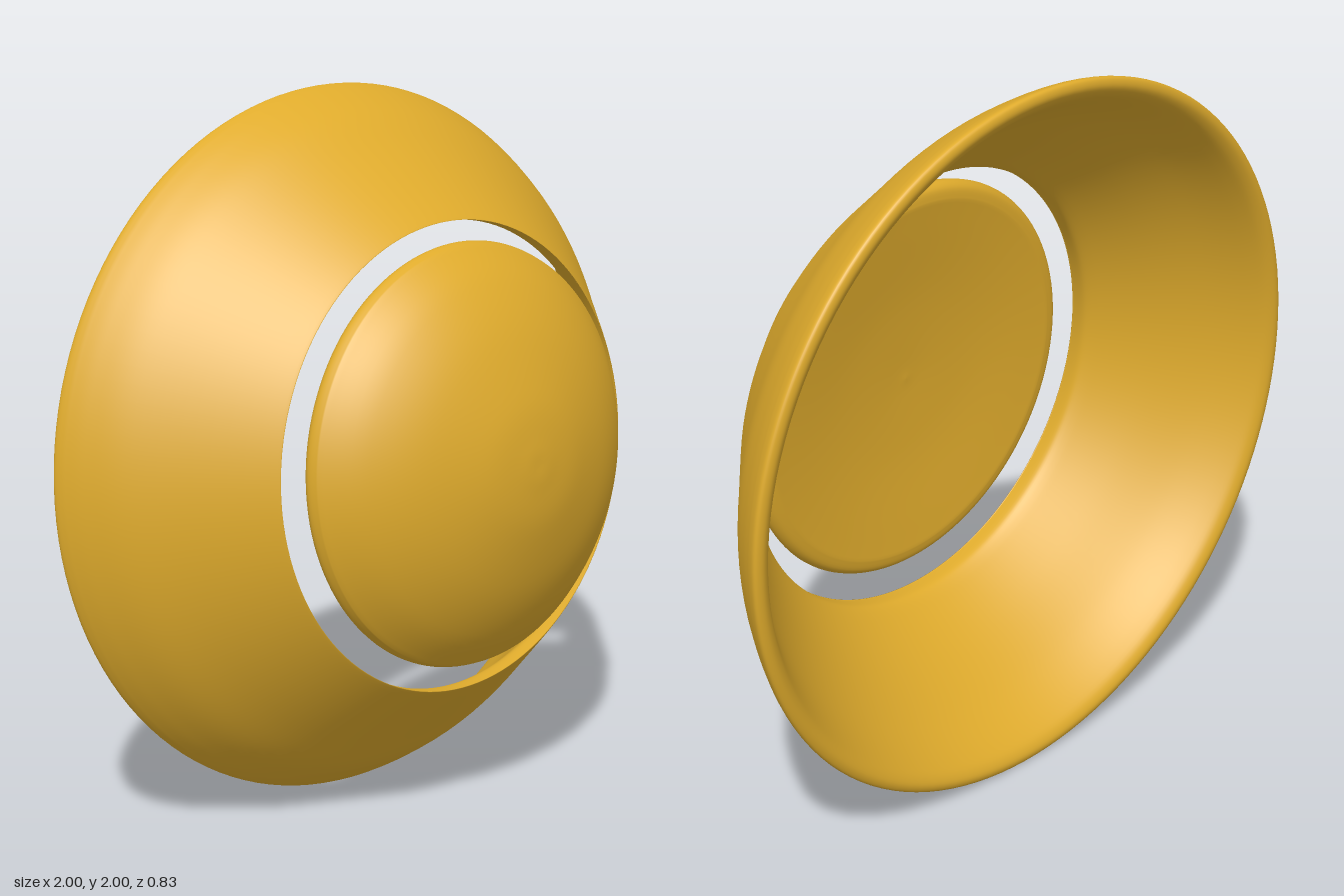
import * as THREE from 'three';

const gold = new THREE.MeshStandardMaterial({ color: 0xdfab2c });
gold.name = 'gold';

// Smooth curve through a few [radius, height] points
function smooth(points, count) {
  return new THREE.SplineCurve(points.map(([r, h]) => new THREE.Vector2(r, h))).getPoints(count);
}

// Revolved part whose axis points along +z
function revolve(name, profile) {
  profile.forEach((p) => { p.x = Math.max(p.x, 0); });
  const geometry = new THREE.LatheGeometry(profile, 128);
  geometry.rotateX(Math.PI / 2);
  const mesh = new THREE.Mesh(geometry, gold);
  mesh.name = name;
  return mesh;
}

// Tilt the back rim a little less than the front opening
function levelRim(geometry, frontHeight) {
  const p = geometry.attributes.position;
  for (let i = 0; i < p.count; i++) {
    const fade = 1 - p.getZ(i) / frontHeight;
    p.setZ(i, p.getZ(i) + fade * (0.011 * p.getX(i) + 0.022 * p.getY(i)));
  }
}

export function createModel() {
  const model = new THREE.Group();
  model.name = 'flaredRingAndDome';

  // Flared shell: lip, inner wall, broad rounded back rim, bulging outer wall
  const lip = smooth([[0.642, 0.464], [0.64, 0.43], [0.646, 0.41], [0.663, 0.386]], 10);
  const inner = smooth([[0.663, 0.386], [0.75, 0.278], [0.86, 0.142], [0.927, 0.04]], 20);
  const rim = smooth([[0.927, 0.04], [0.95, 0.008], [0.974, -0.007], [0.994, -0.004], [1.0, 0.008], [0.992, 0.032]], 20);
  const outer = smooth([[0.992, 0.032], [0.965, 0.083], [0.91, 0.167], [0.815, 0.275], [0.66, 0.448], [0.642, 0.464]], 30);
  const shell = revolve('flaredShell', [
    ...lip, ...inner.slice(1), ...rim.slice(1), ...outer.slice(1),
  ]);
  levelRim(shell.geometry, 0.464);

  // Dome: slightly hollow back, rounded edge, bulging front
  const back = smooth([[0, 0.505], [0.06, 0.505], [0.25, 0.495], [0.45, 0.473], [0.53, 0.464]], 20);
  const edge = smooth([[0.53, 0.464], [0.562, 0.47], [0.578, 0.492], [0.57, 0.522]], 14);
  const front = smooth([[0.57, 0.522], [0.48, 0.604], [0.35, 0.678], [0.18, 0.735], [0.06, 0.753], [0, 0.755]], 28);
  const dome = revolve('dome', [...back, ...edge.slice(1), ...front.slice(1)]);
  dome.position.set(0.004, 0.009, 0);

  // Both parts share one axis, tilted slightly up and to the left
  const tilted = new THREE.Group();
  tilted.name = 'tiltedAssembly';
  tilted.add(shell, dome);
  tilted.quaternion.setFromUnitVectors(
    new THREE.Vector3(0, 0, 1),
    new THREE.Vector3(0.06, 0.069, 1).normalize(),
  );
  tilted.position.set(0.002, 1.005, -0.341);
  model.add(tilted);
  return model;
}
